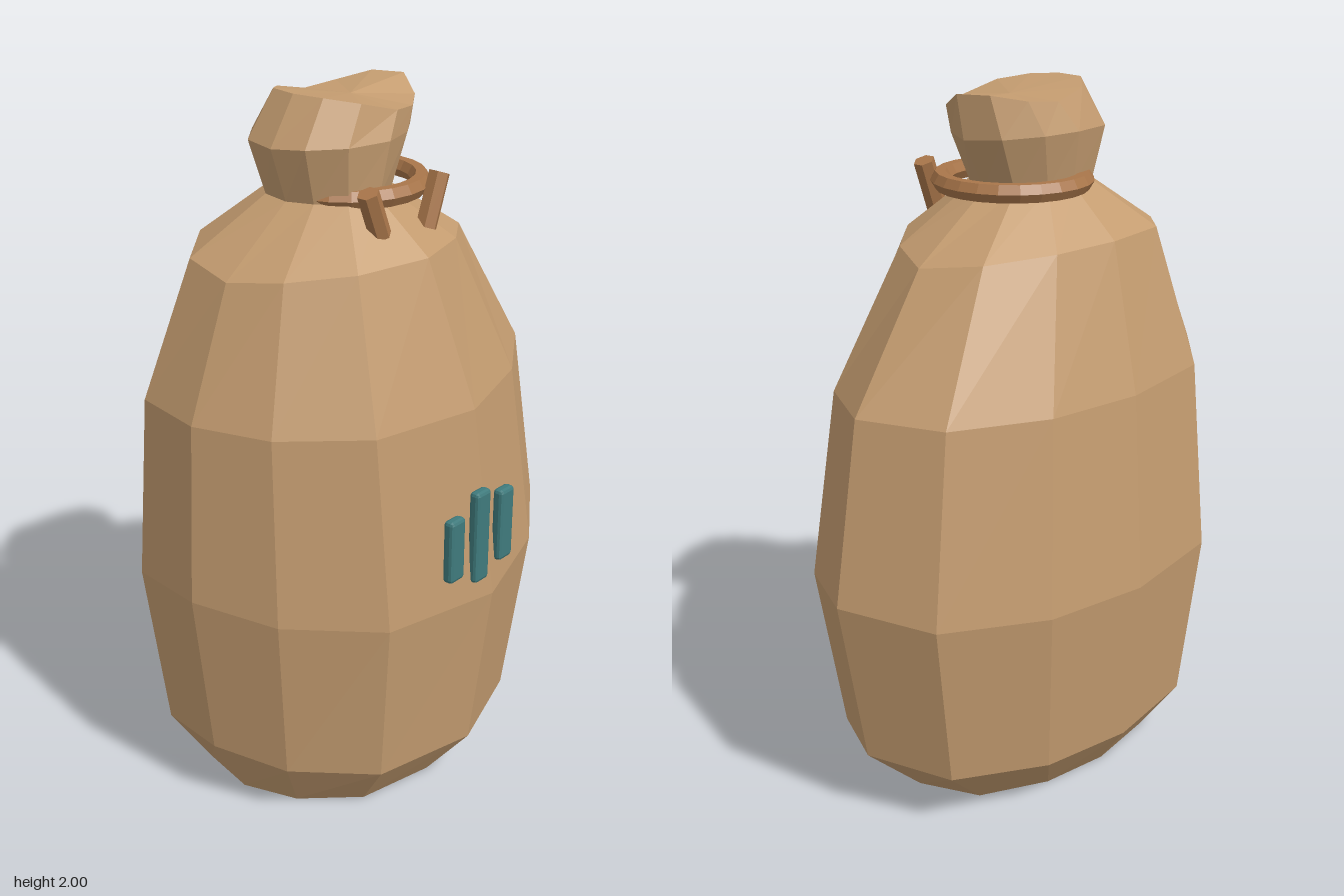
import * as THREE from 'three';
import { RoundedBoxGeometry } from 'three/addons/geometries/RoundedBoxGeometry.js';

const flat = (color) => new THREE.MeshStandardMaterial({ color, flatShading: true });

// Slightly lumpy twelve-sided outline, from +x round through the front (+z)
const OUTLINE = [
  [1, 0], [0.79, 0.49], [0.43, 0.85], [-0.04, 1.07], [-0.56, 0.92], [-0.87, 0.49],
  [-1, 0], [-0.93, -0.54], [-0.57, -0.94], [-0.04, -1], [0.43, -0.87], [0.85, -0.54],
];
const N = OUTLINE.length;

// Cross-sections upwards: centre x, radius x, centre z, radius z, height, rise at front and back
const RINGS = [
  [-0.07, 0.44, -0.02, 0.325, 0, 0],
  [-0.02, 0.60, -0.02, 0.435, 0.20, -0.05],
  [0, 0.675, -0.02, 0.487, 0.70, -0.05],
  [-0.03, 0.615, -0.02, 0.43, 1.21, -0.01],
  [-0.08, 0.42, -0.025, 0.31, 1.56, 0.04],
  [-0.10, 0.18, -0.025, 0.16, 1.725, 0.005],
  [-0.08, 0.245, -0.03, 0.185, 1.87, 0.01],
  [-0.035, 0.215, -0.02, 0.16, 1.99, 0],
];
// Uneven height of the gathered mouth
const MOUTH_LIFT = [0, -0.04, -0.05, -0.04, -0.01, 0.005, 0.01, 0.01, -0.005, -0.03, -0.02, 0];

function sackGeometry() {
  const pos = [];
  const index = [];
  RINGS.forEach(([cx, rx, cz, rz, y, rise], r) => OUTLINE.forEach(([u, v], k) => {
    const lift = r === RINGS.length - 1 ? MOUTH_LIFT[k] : rise * Math.min(1, Math.abs(v));
    pos.push(cx + u * rx, y + lift, cz + v * rz);
  }));
  for (let r = 0; r < RINGS.length - 1; r++) {
    for (let k = 0; k < N; k++) {
      const a = r * N + k;
      const b = r * N + (k + 1) % N;
      index.push(a, a + N, b, b, a + N, b + N);
    }
  }
  // Flat base and the closed, dented mouth
  const base = RINGS.length * N;
  const top = (RINGS.length - 1) * N;
  pos.push(-0.07, 0, -0.02, -0.035, 1.968, -0.02);
  for (let k = 0; k < N; k++) {
    const n = (k + 1) % N;
    index.push(base, k, n, base + 1, top + n, top + k);
  }
  const geometry = new THREE.BufferGeometry();
  geometry.setAttribute('position', new THREE.Float32BufferAttribute(pos, 3));
  geometry.setIndex(index);
  const faceted = geometry.toNonIndexed();
  faceted.computeVertexNormals();
  return faceted;
}

export function createModel() {
  const model = new THREE.Group();
  model.name = 'tiedSack';
  const add = (name, geometry, material, x, y, z) => {
    const mesh = new THREE.Mesh(geometry, material);
    mesh.name = name;
    mesh.position.set(x, y, z);
    model.add(mesh);
    return mesh;
  };
  const cloth = flat(0xc49c70);
  const rope = flat(0xa9764a);
  const teal = flat(0x3f7a7c);

  add('sack', sackGeometry(), cloth, 0, 0, 0);

  // Rope round the neck
  const ring = new THREE.TorusGeometry(0.198, 0.028, 6, 24);
  ring.rotateX(Math.PI / 2);
  add('neckRope', ring, rope, -0.045, 1.737, -0.022);

  // Two hanging rope ends, splayed outwards at the top
  for (const [name, x, y, length, lean] of [
    ['rightRopeEnd', -0.19, 1.715, 0.13, 0.38],
    ['leftRopeEnd', 0.043, 1.705, 0.15, -0.36],
  ]) {
    const end = add(name, new THREE.CylinderGeometry(0.03, 0.03, length, 6), rope, x, y, 0.202);
    end.rotation.z = lean;
  }

  // Three stitches on the front
  for (const [name, x, low, high] of [
    ['rightStitch', -0.178, 0.75, 0.935],
    ['middleStitch', -0.07, 0.705, 0.98],
    ['leftStitch', 0.035, 0.733, 0.95],
  ]) {
    add(name, new RoundedBoxGeometry(0.06, high - low, 0.032, 1, 0.01), teal, x, (low + high) / 2, 0.48);
  }
  return model;
}
